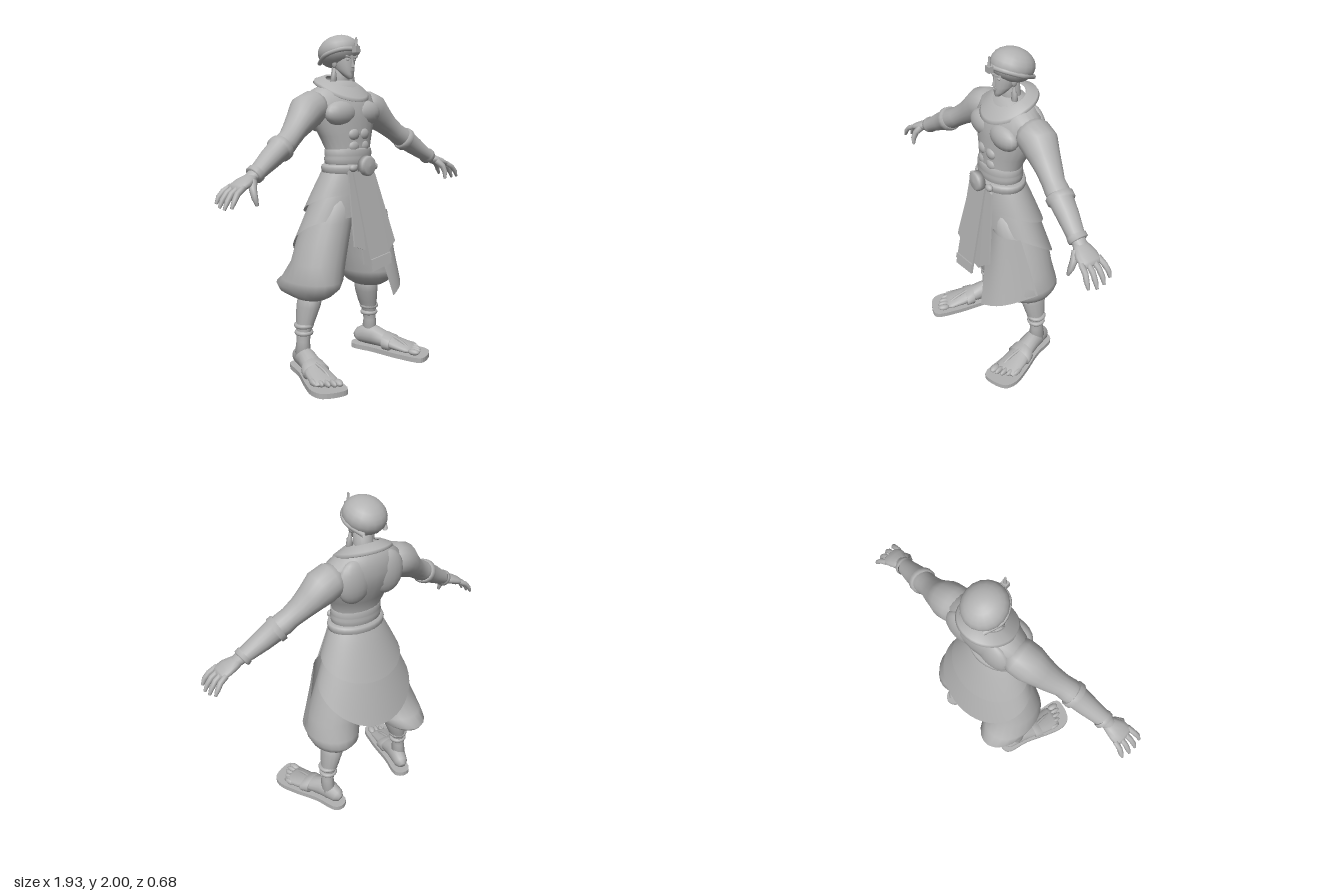
import * as THREE from 'three';

const V = (x, y, z) => new THREE.Vector3(x, y, z);

export function createModel() {
  const model = new THREE.Group();
  const clay = new THREE.MeshStandardMaterial({ color: 0xb2b2b2, side: THREE.DoubleSide });
  clay.name = 'stoneGrey';

  const add = (name, geo, parent = model) => {
    const m = new THREE.Mesh(geo, clay);
    m.name = name;
    parent.add(m);
    return m;
  };

  // Surface from rows of points f(i, j); rows may close on themselves and be capped
  function grid(rows, cols, f, closed = true, caps = false) {
    const pos = [], idx = [];
    for (let i = 0; i < rows; i++) for (let j = 0; j < cols; j++) pos.push(...f(i, j).toArray());
    for (let i = 0; i < rows - 1; i++) for (let j = 0; j < (closed ? cols : cols - 1); j++) {
      const a = i * cols + j, b = i * cols + (j + 1) % cols;
      idx.push(a, b, a + cols, b, b + cols, a + cols);
    }
    if (caps) for (const i of [0, rows - 1]) {
      const c = V(0, 0, 0), k = pos.length / 3;
      for (let j = 0; j < cols; j++) c.add(f(i, j));
      pos.push(...c.divideScalar(cols).toArray());
      for (let j = 0; j < cols; j++) {
        const a = i * cols + j, b = i * cols + (j + 1) % cols;
        if (i) idx.push(k, a, b); else idx.push(k, b, a);
      }
    }
    const g = new THREE.BufferGeometry();
    g.setAttribute('position', new THREE.Float32BufferAttribute(pos, 3));
    g.setIndex(idx);
    g.computeVertexNormals();
    return g;
  }

  // Elliptic sections [x, y, z, a, b] along a path; a lies along ref, b across it
  function loft(secs, ref, n = 16, axis = null) {
    const c = secs.map(s => V(s[0], s[1], s[2]));
    const frames = c.map((p, i) => {
      const t = axis ? axis.clone()
        : c[Math.min(i + 1, c.length - 1)].clone().sub(c[Math.max(i - 1, 0)]).normalize();
      const u = ref.clone().addScaledVector(t, -ref.dot(t)).normalize();
      return [u, t.clone().cross(u)];
    });
    return grid(secs.length, n, (i, j) => {
      const q = j / n * Math.PI * 2;
      return c[i].clone().addScaledVector(frames[i][0], secs[i][3] * Math.cos(q))
        .addScaledVector(frames[i][1], secs[i][4] * Math.sin(q));
    }, true, true);
  }
  const X = V(1, 0, 0), Y = V(0, 1, 0), Z = V(0, 0, 1);
  const ball = (name, p, r, parent) => {
    const m = add(name, new THREE.SphereGeometry(1, 18, 12), parent);
    m.position.set(...p);
    m.scale.set(...r);
    return m;
  };
  const box = (name, p, s, parent) => {
    const m = add(name, new THREE.BoxGeometry(...s), parent);
    m.position.set(...p);
    return m;
  };

  // Torso and neck
  add('torso', loft([[0, 1.18, -.015, .15, .11], [0, 1.33, -.01, .148, .108], [0, 1.42, -.03, .185, .12],
    [0, 1.52, -.055, .23, .142], [0, 1.6, -.068, .25, .14], [0, 1.66, -.08, .235, .12],
    [0, 1.7, -.085, .165, .1], [0, 1.74, -.085, .08, .07]], X, 24, Y));
  add('neck', loft([[0, 1.66, -.09, .065, .065], [0, 1.74, -.08, .055, .058], [0, 1.83, -.07, .05, .055]], X, 16, Y));
  for (const s of [1, -1]) {
    ball('chestMuscle', [s * .1, 1.55, .03], [.115, .075, .062]);
    ball('backMuscle', [s * .11, 1.57, -.15], [.11, .13, .055]);
    for (let k = 0; k < 2; k++) ball('abdomenMuscle', [s * .04, 1.43 - k * .07, .075], [.042, .036, .025]);
  }

  // Draped collar, higher at the back
  const collarRows = [[.095, .085, 0], [.105, .095, .012], [.16, .155, .012], [.168, .163, 0], [.158, .152, -.012]];
  add('collar', grid(5, 36, (i, j) => {
    const q = j / 36 * Math.PI * 2, [rx, rz, h] = collarRows[i], k = (rx - .095) / .07;
    return V(rx * Math.cos(q), 1.735 - .035 * k + h - (.035 + .015 * k) * Math.sin(q) - (Math.sin(q) > 0 ? .03 * k * Math.sin(q) : 0),
      -.07 + rz * Math.sin(q));
  }));

  // Head and face
  add('head', loft([[0, 1.75, .005, .014, .016], [0, 1.775, -.015, .036, .04], [0, 1.805, -.04, .052, .065],
    [0, 1.85, -.055, .062, .08], [0, 1.93, -.065, .064, .085]], X, 20, Y));
  const nose = add('nose', new THREE.ConeGeometry(.013, .055, 4));
  nose.position.set(0, 1.842, .027);
  nose.rotation.x = -.15;
  box('mouth', [0, 1.8, .02], [.03, .007, .012]);
  const beard = add('beard', new THREE.ConeGeometry(.016, .045, 6));
  beard.position.set(0, 1.772, .018);
  beard.rotation.x = Math.PI;
  for (const s of [1, -1]) {
    box('brow', [s * .026, 1.874, .02], [.036, .009, .016]).rotation.z = s * .25;
    ball('eye', [s * .026, 1.858, .014], [.012, .006, .008]);
    ball('ear', [s * .064, 1.84, -.06], [.01, .03, .018]);
    add('earring', loft([[s * .07, 1.81, -.055, .008, .008], [s * .07, 1.785, -.055, .01, .01],
      [s * .072, 1.78, -.055, .016, .014], [s * .074, 1.735, -.055, .022, .018]], X, 8, Y));
  }

  // Turban with a front ornament
  const turban = ball('turban', [0, 1.907, -.09], [.121, .094, .128]);
  turban.rotation.x = -.3;
  for (const s of [1, -1]) {
    const fold = new THREE.CatmullRomCurve3([V(0, 1.92, .036), V(s * .07, 1.915, .005), V(s * .112, 1.885, -.08), V(s * .07, 1.84, -.18)]);
    add('turbanFold', new THREE.TubeGeometry(fold, 20, .014, 8));
  }
  box('ornamentBase', [0, 1.915, .056], [.036, .036, .03]);
  add('ornamentSpike', new THREE.CylinderGeometry(.005, .011, .06, 8)).position.set(0, 1.955, .056);
  box('ornamentPin', [0, 1.915, .035], [.014, .014, .04]);

  // Arms, bracers and hands; the right arm reaches slightly further forward
  for (const s of [1, -1]) {
    const arm = new THREE.Group();
    arm.name = s > 0 ? 'leftArm' : 'rightArm';
    model.add(arm);
    const shift = x => s < 0 ? .05 * THREE.MathUtils.clamp((x - .2) / .3, 0, 1) : 0;
    const limb = (name, secs, n) =>
      add(name, loft(secs.map(([x, y, z, a, b]) => [s * x, y, z + shift(x), a, b]), Z, n), arm);
    limb('arm', [[.16, 1.59, -.08, .085, .08], [.22, 1.585, -.08, .105, .098], [.28, 1.56, -.08, .105, .103],
      [.34, 1.51, -.07, .088, .083], [.4, 1.465, -.06, .075, .066], [.46, 1.42, -.045, .064, .06],
      [.5, 1.395, -.04, .068, .063], [.58, 1.35, -.025, .06, .056], [.66, 1.3, -.01, .05, .044],
      [.78, 1.23, .01, .038, .03]], 18);
    limb('bracer', [[.522, 1.382, -.037, .066, .062], [.525, 1.38, -.036, .078, .074], [.552, 1.366, -.032, .078, .074],
      [.556, 1.363, -.03, .068, .064], [.62, 1.324, -.02, .062, .058], [.72, 1.262, 0, .05, .043],
      [.725, 1.26, 0, .056, .05], [.745, 1.247, 0, .056, .05], [.75, 1.244, 0, .042, .036]], 18);
    limb('palm', [[.75, 1.243, .005, .036, .026], [.79, 1.226, .01, .052, .03], [.83, 1.212, .015, .066, .028],
      [.87, 1.195, .017, .066, .022], [.885, 1.185, .017, .055, .012]], 14);
    for (let k = 0; k < 4; k++) {
      const z = -.038 + k * .036, l = [.82, .96, 1, .9][k], w = (k - 1.5) * .012;
      limb('finger', [[.86, 1.2, z, .017, .016], [.86 + .052 * l, 1.2 - .03 * l, z + w * .5, .016, .016],
        [.86 + .08 * l, 1.2 - .065 * l, z + w, .015, .014], [.86 + .1 * l, 1.2 - .105 * l, z + w, .008, .008]], 8);
    }
    limb('thumb', [[.785, 1.222, .045, .024, .022], [.808, 1.185, .076, .02, .02],
      [.812, 1.145, .095, .018, .016], [.803, 1.105, .102, .009, .009]], 8);
  }

  // Sash, belt and buckle
  const bandY = [[1.255, .15], [1.26, .158], [1.29, .162], [1.3, .155], [1.31, .16], [1.34, .157], [1.35, .148]];
  add('sash', loft(bandY.map(([y, r]) => [0, y, -.01, r, r * .74]), X, 28, Y));
  add('belt', loft([[1.2, .165], [1.21, .178], [1.235, .182], [1.25, .178], [1.258, .16]]
    .map(([y, r]) => [0, y, -.01, r, r * .74]), X, 28, Y));
  const buckle = add('buckle', new THREE.LatheGeometry([[0, .03], [.045, .026], [.058, .016], [.06, -.02], [0, -.02]]
    .reverse().map(p => new THREE.Vector2(...p)), 24));
  buckle.position.set(0, 1.25, .146);
  buckle.rotation.x = Math.PI / 2;
  for (const s of [1, -1]) ball('beltStud', [s * .085, 1.24, .12], [.028, .022, .02]);

  // Two overlapping skirt layers, longer towards the back
  function skirt(name, y0, top, hem, front, drop, power) {
    add(name, grid(8, 40, (i, j) => {
      const k = i / 7, q = j / 40 * Math.PI * 2, e = Math.pow(k, .9);
      const mix = n => THREE.MathUtils.lerp(top[n], hem[n], e);
      const y1 = front - drop * Math.pow((1 - Math.sin(q)) / 2, power);
      return V(mix(0) * Math.cos(q), THREE.MathUtils.lerp(y0, y1, k), mix(2) + mix(1) * Math.sin(q));
    }));
  }
  skirt('upperSkirt', 1.24, [.16, .12, -.01], [.262, .185, -.065], 1.09, .16, 1.4);
  skirt('lowerSkirt', 1.12, [.195, .14, -.03], [.312, .215, -.1], .95, .3, 1.7);

  // Hanging front sashes
  function panel(name, pts, z, slope) {
    const g = new THREE.ExtrudeGeometry(new THREE.Shape(pts.map(p => new THREE.Vector2(...p))), { depth: .012, bevelEnabled: false });
    const p = g.attributes.position;
    for (let i = 0; i < p.count; i++) p.setZ(i, p.getZ(i) + z + (1.22 - p.getY(i)) * slope);
    g.computeVertexNormals();
    add(name, g);
  }
  panel('centrePanel', [[-.1, 1.22], [-.075, .65], [.095, .675], [.06, 1.22]], .125, .23);
  panel('centrePanelHem', [[-.078, .72], [-.077, .69], [.095, .71], [.092, .74]], .133, .23);
  panel('rightPanel', [[-.115, 1.22], [-.155, .8], [-.075, .77], [-.05, 1.22]], .1, .22);
  panel('leftPanel', [[.03, 1.22], [.11, .72], [.195, .785], [.1, 1.2]], .1, .2);
  panel('innerPanel', [[-.08, 1.2], [-.07, .68], [.08, .68], [.08, 1.2]], .1, .16);

  // Draped cloth over the left thigh
  const cloth = [V(.05, .98, .1), V(.28, .95, .03), V(.15, .455, .23), V(.385, .57, -.03)];
  add('thighCloth', grid(9, 9, (i, j) => {
    const u = j / 8, v = i / 8;
    const p = cloth[0].clone().lerp(cloth[1], u).lerp(cloth[2].clone().lerp(cloth[3], u), v);
    const bulge = Math.sin(u * Math.PI) * .06;
    return p.add(V(bulge * .4, 0, bulge));
  }, false));

  // Legs, trousers and sandals
  for (const s of [1, -1]) {
    const leg = new THREE.Group();
    leg.name = s > 0 ? 'leftLeg' : 'rightLeg';
    model.add(leg);
    const back = s < 0 ? .05 : 0;
    const part = (name, secs, n) => add(name, loft(secs.map(([x, ...r]) => [s * x, ...r]), X, n, Y), leg);
    part('trouserLeg', [[.245, .5, -.09, .06, .07], [.245, .465, -.085, .085, .11], [.24, .49, -.08 - back, .12, .15 + back],
      [.228, .53, -.075 - back, .15, .185 + back], [.223, .575, -.065 - back * .5, .162, .185 + back * .5], [.2, .68, -.06, .157, .17],
      [.165, .8, -.06, .15, .165], [.13, .92, -.05, .14, .15], [.1, 1.05, -.03, .11, .12]], 22);
    part('shin', [[.29, .1, -.105, .045, .055], [.29, .2, -.1, .037, .044], [.283, .26, -.1, .04, .048],
      [.268, .33, -.1, .055, .066], [.25, .41, -.095, .066, .08], [.235, .5, -.085, .07, .08]], 16);
    for (const [y, r] of [[.25, .043], [.295, .047]]) {
      const ring = add('ankleRing', new THREE.TorusGeometry(r, .014, 8, 22), leg);
      ring.rotation.x = Math.PI / 2;
      ring.position.set(s * .283, y, -.1);
    }

    // Foot on its sandal, turned outward
    const foot = new THREE.Group();
    foot.name = 'foot';
    foot.position.set(s * .285, 0, -.1);
    foot.rotation.y = s * .29;
    leg.add(foot);
    const outline = [[-.05, -.1], [0, -.125], [.05, -.1], [.06, .05], [.095, .22], [.105, .33], [.075, .395], [-.02, .42], [-.085, .405], [-.09, .25], [-.062, .05]];
    const sole = new THREE.ExtrudeGeometry(new THREE.Shape(
      new THREE.CatmullRomCurve3(outline.map(([x, z]) => V(s * x, z, 0)), true).getPoints(40).slice(0, 40)
        .map(p => new THREE.Vector2(p.x, p.y))), { depth: .03, bevelEnabled: false });
    sole.rotateX(Math.PI / 2).translate(0, .03, 0);
    add('sandalSole', sole, foot);
    add('footBody', loft([[0, .07, -.1, .022, .025], [0, .08, -.075, .044, .048], [0, .095, -.02, .052, .066],
      [0, .095, .04, .055, .066], [0, .08, .11, .062, .052], [s * .005, .062, .2, .076, .036],
      [s * .005, .05, .29, .082, .024], [s * .005, .045, .32, .07, .014]], X, 16), foot);
    for (let k = 0; k < 5; k++)
      ball('toe', [s * (-.056 + k * .032), .05, .345 - k * k * .0045], [k ? .015 : .023, .019, .038], foot);
    add('sandalStrap', loft([[0, .07, .12, .068, .046], [0, .07, .122, .075, .06], [s * .003, .062, .175, .085, .05],
      [s * .003, .062, .178, .07, .035]], X, 20, Z), foot);
    add('toeStrap', new THREE.TubeGeometry(new THREE.CatmullRomCurve3(
      [V(0, .11, .165), V(-s * .02, .085, .25), V(-s * .035, .035, .33)]), 10, .01, 6), foot);
  }
  return model;
}
